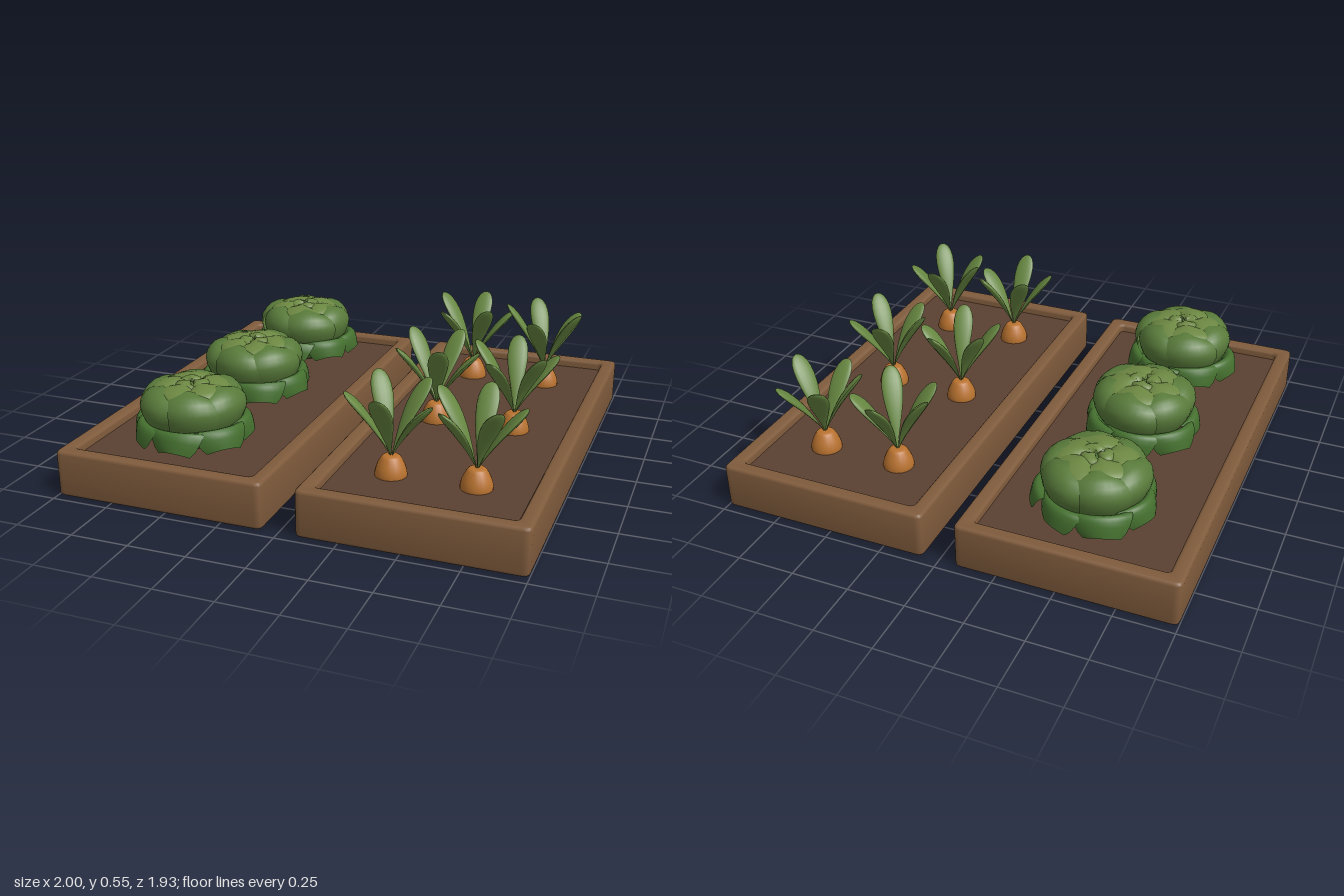
import * as THREE from 'three';
import { toCreasedNormals } from 'three/addons/utils/BufferGeometryUtils.js';

const mat = (color, side = THREE.FrontSide) => new THREE.MeshStandardMaterial({ color, side });
const wood = mat(0x7f5b3c);
const soilMat = mat(0x5a4032);
const orange = mat(0xb8722f);
const carrotGreen = mat(0x668640);
const outerGreen = mat(0x45702f, THREE.DoubleSide);
const headGreen = mat(0x587a3a, THREE.DoubleSide);
const heartGreen = mat(0x6c8742, THREE.DoubleSide);

const WIDTH = 0.93, LENGTH = 1.93, HEIGHT = 0.2, WALL = 0.064, BED_X = 0.535;

function add(parent, name, geometry, material) {
  const mesh = new THREE.Mesh(geometry, material);
  mesh.name = name;
  parent.add(mesh);
  return mesh;
}

function roundedRect(target, w, l, r) {
  const x = w / 2, y = l / 2;
  target.moveTo(-x + r, -y);
  target.lineTo(x - r, -y);
  target.quadraticCurveTo(x, -y, x, -y + r);
  target.lineTo(x, y - r);
  target.quadraticCurveTo(x, y, x - r, y);
  target.lineTo(-x + r, y);
  target.quadraticCurveTo(-x, y, -x, y - r);
  target.lineTo(-x, -y + r);
  target.quadraticCurveTo(-x, -y, -x + r, -y);
  return target;
}

// Wooden frame with bevelled edges, filled with soil
function makeBed() {
  const bed = new THREE.Group();
  const bevel = 0.014;
  const shape = roundedRect(new THREE.Shape(), WIDTH, LENGTH, 0.03);
  shape.holes.push(roundedRect(new THREE.Path(), WIDTH - 2 * WALL, LENGTH - 2 * WALL, 0.02));
  const frame = new THREE.ExtrudeGeometry(shape, {
    depth: HEIGHT - 2 * bevel, bevelEnabled: true, bevelSize: bevel, bevelThickness: bevel,
    bevelOffset: -bevel, bevelSegments: 3, curveSegments: 4,
  });
  frame.rotateX(-Math.PI / 2).translate(0, bevel, 0);
  add(bed, 'bedFrame', toCreasedNormals(frame, Math.PI / 5), wood);
  const soil = new THREE.BoxGeometry(WIDTH - 1.8 * WALL, 0.155, LENGTH - 1.8 * WALL);
  add(bed, 'soil', soil, soilMat).position.y = 0.085;
  return bed;
}

// Cupped leaf: a sheet swept along an (r, y) profile, wrapped around the plant axis
function cabbageLeaf(points, halfAngle, cup, twist) {
  const profile = new THREE.SplineCurve(points.map(([r, y]) => new THREE.Vector2(r, y)));
  const geometry = new THREE.PlaneGeometry(2, 1, 10, 12);
  const p = geometry.attributes.position;
  for (let i = 0; i < p.count; i++) {
    const u = p.getX(i), v = p.getY(i) + 0.5;
    const c = profile.getPoint(v);
    const a = u * halfAngle * Math.pow(Math.sin(Math.PI * (0.15 + 0.75 * v)), 0.6);
    const r = c.x * (1 - cup * u * u + twist * u);
    p.setXYZ(i, r * Math.sin(a), c.y - 0.02 * v * u * u, r * Math.cos(a));
  }
  geometry.computeVertexNormals();
  return geometry;
}

// Leaf rings from the outside in
const rings = [
  { name: 'outerLeaf', count: 7, material: outerGreen, start: 0,
    geometry: cabbageLeaf([[0.06, 0.16], [0.16, 0.23], [0.213, 0.3], [0.248, 0.29], [0.262, 0.225]], 0.6, 0.06, 0.04) },
  { name: 'headLeaf', count: 6, material: headGreen, start: 0.4,
    geometry: cabbageLeaf([[0.08, 0.17], [0.19, 0.27], [0.228, 0.365], [0.19, 0.428], [0.125, 0.445]], 0.72, 0.06, 0.04) },
  { name: 'innerLeaf', count: 5, material: heartGreen, start: 0.1,
    geometry: cabbageLeaf([[0.12, 0.3], [0.18, 0.38], [0.165, 0.428], [0.1, 0.45], [0.035, 0.448]], 0.85, 0.07, 0.05) },
  { name: 'heartLeaf', count: 3, material: heartGreen, start: 0.6,
    geometry: cabbageLeaf([[0.06, 0.41], [0.075, 0.438], [0.05, 0.456], [0.01, 0.452]], 1.1, 0.12, 0.08) },
];
const coreGeometry = new THREE.SphereGeometry(1, 20, 14).scale(0.165, 0.14, 0.165);

function makeCabbage(turn) {
  const cabbage = new THREE.Group();
  cabbage.name = 'cabbage';
  add(cabbage, 'cabbageCore', coreGeometry, headGreen).position.y = 0.293;
  for (const ring of rings) {
    for (let i = 0; i < ring.count; i++) {
      const leaf = add(cabbage, ring.name, ring.geometry, ring.material);
      leaf.rotation.y = ring.start + (i / ring.count) * Math.PI * 2;
      const s = i % 2 ? 0.97 : 1;
      leaf.scale.set(s, 1, s);
    }
  }
  cabbage.rotation.y = turn;
  return cabbage;
}

// Unit-length paddle leaf growing along +y
function paddleLeaf() {
  const geometry = new THREE.SphereGeometry(1, 14, 14);
  const p = geometry.attributes.position;
  for (let i = 0; i < p.count; i++) {
    const t = (p.getY(i) + 1) / 2;
    const w = 0.06 + 1.25 * t;
    p.setXYZ(i, p.getX(i) * w * 0.052, t, p.getZ(i) * w * 0.016 - 0.07 * t * (1 - t));
  }
  geometry.computeVertexNormals();
  return geometry;
}
const paddleGeometry = paddleLeaf();
const rootGeometry = new THREE.LatheGeometry(
  new THREE.SplineCurve([[0.045, 0.1], [0.066, 0.155], [0.062, 0.195], [0.045, 0.232], [0.03, 0.248], [0.001, 0.25]]
    .map(([r, y]) => new THREE.Vector2(r, y))).getPoints(14), 18);

function makeCarrot(startDegrees) {
  const carrot = new THREE.Group();
  carrot.name = 'carrot';
  add(carrot, 'carrotRoot', rootGeometry, orange);
  const base = 0.235, reach = 0.19;
  [0.54, 0.495, 0.545, 0.515, 0.55].forEach((tip, i) => {
    const leaf = add(carrot, 'carrotLeaf', paddleGeometry, carrotGreen);
    const angle = THREE.MathUtils.degToRad(startDegrees + i * 72);
    leaf.position.y = base;
    leaf.rotation.set(Math.atan2(reach, tip - base), Math.PI / 2 - angle, 0, 'YXZ');
    leaf.scale.y = Math.hypot(reach, tip - base);
  });
  return carrot;
}

export function createModel() {
  const model = new THREE.Group();
  model.name = 'vegetableBeds';

  const cabbageBed = makeBed();
  cabbageBed.name = 'cabbageBed';
  cabbageBed.position.x = -BED_X;
  const carrotBed = makeBed();
  carrotBed.name = 'carrotBed';
  carrotBed.position.x = BED_X;
  model.add(cabbageBed, carrotBed);

  // Three rows: one cabbage and two carrots each
  const carrotTurns = [[-87, -117], [-72, -101], [-54, -90]];
  [-0.62, 0, 0.62].forEach((z, row) => {
    const cabbage = makeCabbage(row * 0.5);
    cabbage.position.z = z * 0.985;
    cabbageBed.add(cabbage);
    [-0.185, 0.17].forEach((x, column) => {
      const carrot = makeCarrot(carrotTurns[row][column]);
      carrot.position.set(x, 0, z);
      carrotBed.add(carrot);
    });
  });
  return model;
}
